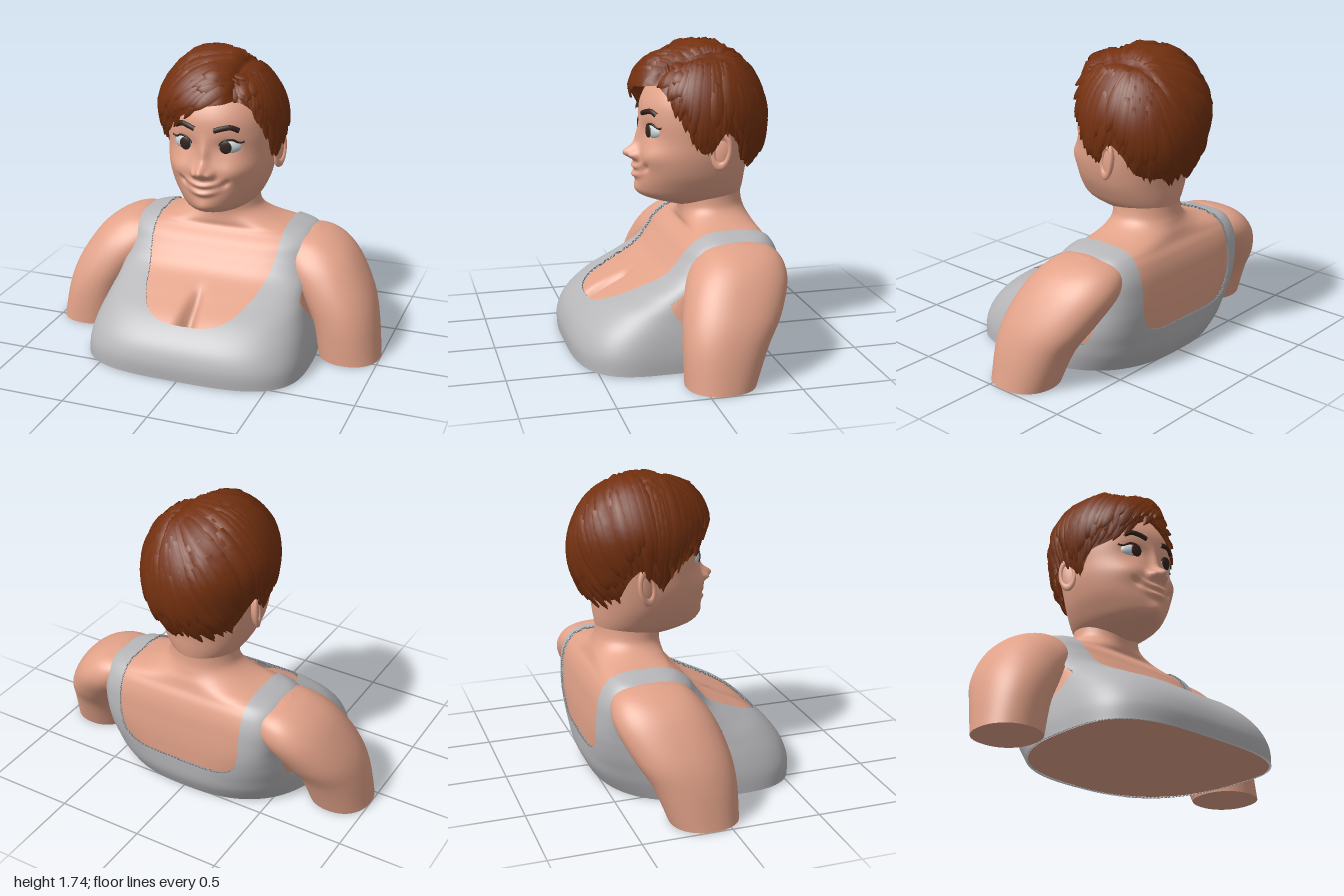
import * as THREE from 'three';
import { mergeGeometries } from 'three/addons/utils/BufferGeometryUtils.js';

const { sin, cos, abs, exp, PI, pow, min, max, sqrt } = Math;
const V = (x, y, z) => new THREE.Vector3(x, y, z);
const smooth = (x, a, b) => THREE.MathUtils.smoothstep(x, a, b);

function material(name, color, side = THREE.FrontSide) {
  const m = new THREE.MeshStandardMaterial({ color, side });
  m.name = name;
  return m;
}

// Closed body from horizontal sections: [y, halfWidth, zMiddle, zFront, zBack, frontPower, backPower, xCentre]
function loft(rows, nRows, nSeg, shape) {
  const pos = [], idx = [], last = rows.length - 1;
  for (let i = 0; i <= nRows; i++) {
    const u = i / nRows * last, k = min(last - 1, Math.floor(u)), t = u - k;
    const [y, w, zm, zf, zb, nf, nb, xc = 0] = rows[k].map((b, c) => {
      const a = rows[max(0, k - 1)][c], d = rows[k + 1][c], e = rows[min(last, k + 2)][c];
      return b + 0.5 * t * (d - a + t * (2 * a - 5 * b + 4 * d - e + t * (3 * (b - d) + e - a)));
    });
    for (let j = 0; j < nSeg; j++) {
      const s = sin(j / nSeg * 2 * PI), c = cos(j / nSeg * 2 * PI), n = c > 0 ? nf : nb;
      const r = pow(pow(abs(s), n) + pow(abs(c), n), -1 / n);
      const p = V(xc + w * r * s, y, zm + r * c * (c > 0 ? zf - zm : zm - zb));
      if (shape) shape(p);
      pos.push(p.x, p.y, p.z);
      if (i === nRows) continue;
      const a = i * nSeg + j, b = i * nSeg + (j + 1) % nSeg;
      idx.push(a, b, a + nSeg, b, b + nSeg, a + nSeg);
    }
  }
  // flat caps with their own corners
  for (const [i, row] of [[0, rows[0]], [nRows, rows[last]]]) {
    const base = pos.length / 3;
    pos.push(row[7] || 0, row[0], row[2]);
    for (let j = 0; j < nSeg; j++) {
      const o = (i * nSeg + j) * 3;
      pos.push(pos[o], pos[o + 1], pos[o + 2]);
      const a = base + 1 + j, b = base + 1 + (j + 1) % nSeg;
      if (i) idx.push(base, a, b); else idx.push(base, b, a);
    }
  }
  const g = new THREE.BufferGeometry();
  g.setAttribute('position', new THREE.Float32BufferAttribute(pos, 3));
  g.setIndex(idx);
  g.computeVertexNormals();
  return g;
}

// Keep the surface where f(p) > 0, lifted by `lift`, with a rim along the cut
function clip(geo, f, lift) {
  const P = geo.attributes.position, N = geo.attributes.normal, pos = [], nor = [];
  const put = (v, h) => { pos.push(...v.p.clone().addScaledVector(v.n, h).toArray()); nor.push(...v.n.toArray()); };
  const verts = Array.from({ length: P.count }, (_, i) => {
    const p = V().fromBufferAttribute(P, i);
    return { p, n: V().fromBufferAttribute(N, i), d: f(p) };
  });
  for (let i = 0; i < geo.index.count; i += 3) {
    const tri = [0, 1, 2].map(k => verts[geo.index.getX(i + k)]), poly = [], cut = [];
    tri.forEach((a, k) => {
      const b = tri[(k + 1) % 3];
      if (a.d > 0) poly.push(a);
      if (a.d > 0 !== b.d > 0) {
        const t = a.d / (a.d - b.d);
        const c = { p: a.p.clone().lerp(b.p, t), n: a.n.clone().lerp(b.n, t).normalize() };
        poly.push(c); cut.push(c);
      }
    });
    for (let k = 1; k < poly.length - 1; k++) [poly[0], poly[k], poly[k + 1]].forEach(v => put(v, lift));
    if (cut.length === 2) {
      const [a, b] = cut;
      [[a, lift], [b, lift], [b, 0], [a, lift], [b, 0], [a, 0]].forEach(([v, h]) => put(v, h));
    }
  }
  const g = new THREE.BufferGeometry();
  g.setAttribute('position', new THREE.Float32BufferAttribute(pos, 3));
  g.setAttribute('normal', new THREE.Float32BufferAttribute(nor, 3));
  return g;
}

export function createModel() {
  const model = new THREE.Group();
  const skin = material('skin', 0xe2a289), cloth = material('greyCloth', 0xb7b7ba, THREE.DoubleSide);
  const hair = material('auburnHair', 0x73300f, THREE.DoubleSide), dark = material('darkBrown', 0x33231d);
  const white = material('eyeWhite', 0xc9d3d8);
  const add = (name, geo, mat, parent = model) => {
    const m = new THREE.Mesh(geo, mat);
    m.name = name;
    parent.add(m);
    return m;
  };

  // Torso and neck
  const torso = [
    [0.005, 0.635, 0.15, 0.585, -0.5, 3.3, 2.5], [0.1, 0.63, 0.13, 0.585, -0.545, 3.3, 2.8],
    [0.2, 0.61, 0.08, 0.54, -0.56, 3.2, 3.4], [0.3, 0.58, 0, 0.43, -0.565, 3.2, 4.5],
    [0.38, 0.56, -0.08, 0.27, -0.565, 3.3, 5.5], [0.46, 0.555, -0.15, 0.11, -0.56, 3.5, 6],
    [0.55, 0.55, -0.22, 0.03, -0.55, 3.6, 6], [0.62, 0.545, -0.25, -0.02, -0.53, 3.6, 5],
    [0.665, 0.52, -0.28, -0.07, -0.505, 3.4, 4], [0.69, 0.45, -0.29, -0.09, -0.495, 3, 3],
    [0.72, 0.32, -0.28, -0.09, -0.485, 2.5, 2.5], [0.77, 0.225, -0.27, -0.09, -0.465, 2.1, 2.1],
    [0.84, 0.195, -0.26, -0.08, -0.45, 2, 2], [1.0, 0.19, -0.26, -0.06, -0.445, 2, 2]];
  add('torso', loft(torso, 90, 200, p => {
    if (p.z > 0) p.z -= 0.13 * exp(-pow(p.x / 0.04, 2)) * smooth(p.y, 0.12, 0.24) * (1 - smooth(p.y, 0.3, 0.44));
  }), skin);

  // Tank top: torso surface minus neck opening, arm openings and the underside
  add('tankTop', clip(loft(torso, 90, 200), p => {
    const x = abs(p.x), front = p.z > -0.25, n = front ? 3 : 6;
    const neck = pow(pow(x / 0.39, n) + pow(max(0, 0.75 - p.y) / (front ? 0.475 : 0.52), n), 1 / n) - 1;
    const hole = sqrt(pow((p.z + 0.19) / 0.32, 2) + pow((p.y - 0.47) / 0.31, 2)) - 1;
    const arm = max(0.522 + 0.12 * max(0, 0.6 - p.y) - x, hole * 0.3);
    return min(neck * 0.39, arm, 0.72 - p.y, p.y - 0.0055);
  }, 0.014), cloth);

  // Upper arms
  for (const s of [1, -1]) {
    add(s > 0 ? 'leftArm' : 'rightArm', loft([
      [0, 0.18, -0.1, 0.09, -0.29, 2.2, 2.2, 0.82], [0.2, 0.19, -0.14, 0.09, -0.37, 2.2, 2.2, 0.78],
      [0.35, 0.21, -0.18, 0.07, -0.46, 2.2, 2.2, 0.715], [0.5, 0.225, -0.22, 0.02, -0.525, 2.3, 2.2, 0.615],
      [0.6, 0.2, -0.25, -0.05, -0.515, 2.3, 2.2, 0.555], [0.66, 0.12, -0.28, -0.13, -0.45, 2.2, 2.2, 0.535],
      [0.684, 0.015, -0.29, -0.25, -0.33, 2, 2, 0.545]].map(r => [...r.slice(0, 7), s * r[7]]), 48, 64), skin);
  }

  // Head, with the face raised by soft bumps: [x, y, width, height, amount]
  const bumps = [[0, 1.105, 0.036, 0.04, 0.078], [0.048, 1.092, 0.02, 0.024, 0.042], [0, 1.19, 0.028, 0.07, 0.028],
    [0.17, 1.1, 0.075, 0.06, 0.022], [0.125, 1.245, 0.065, 0.045, -0.018], [0, 0.89, 0.055, 0.04, 0.018]];
  const lips = [[0, 1.022, 0.085, 0.017, 0.026], [0, 0.975, 0.07, 0.018, 0.026], [0.125, 1.0, 0.022, 0.02, -0.018]];
  const head = add('head', loft([
    [0.785, 0.06, -0.22, -0.09, -0.38, 2, 2], [0.81, 0.125, -0.22, 0.0, -0.42, 2, 2],
    [0.835, 0.17, -0.22, 0.085, -0.44, 2, 2],
    [0.865, 0.205, -0.22, 0.14, -0.45, 2.05, 2], [0.92, 0.24, -0.22, 0.163, -0.46, 2.1, 2],
    [1.0, 0.277, -0.21, 0.165, -0.47, 2.2, 2], [1.1, 0.302, -0.2, 0.16, -0.49, 2.2, 2],
    [1.2, 0.31, -0.2, 0.142, -0.52, 2.2, 2], [1.3, 0.312, -0.2, 0.142, -0.53, 2.2, 2],
    [1.4, 0.3, -0.2, 0.128, -0.51, 2.2, 2], [1.5, 0.27, -0.2, 0.075, -0.45, 2.1, 2],
    [1.58, 0.2, -0.2, 0, -0.36, 2, 2], [1.63, 0.08, -0.2, -0.12, -0.28, 2, 2]], 140, 170, p => {
    if (p.z < -0.1) return;
    const x = abs(p.x), fade = smooth(p.z, -0.1, 0);
    const bump = y => ([cx, cy, sx, sy, a]) => a * exp(-pow((x - cx) / sx, 2) - pow((y - cy) / sy, 2));
    let dz = 0;
    bumps.forEach(b => { dz += bump(p.y)(b); });
    lips.forEach(b => { dz += bump(p.y - 2.2 * x * x)(b); });
    p.z += dz * fade;
  }), skin);
  head.updateMatrixWorld();
  const ray = new THREE.Raycaster();
  const onFace = (x, y, lift = 0) => {
    ray.set(V(x, y, 2), V(0, 0, -1));
    return V(x, y, ray.intersectObject(head)[0].point.z + lift);
  };

  // Eyes, lashes, brows and ears
  const ball = new THREE.SphereGeometry(1, 32, 20);
  for (const s of [1, -1]) {
    const side = s > 0 ? 'left' : 'right';
    const eye = new THREE.Group();
    eye.name = side + 'Eye';
    eye.position.copy(onFace(s * 0.13, 1.243, -0.014));
    eye.rotation.y = s * 0.32;
    model.add(eye);
    add('eyeball', ball, white, eye).scale.set(0.07, 0.043, 0.034);
    const iris = add('iris', ball, dark, eye);
    iris.scale.set(0.034, 0.037, 0.008);
    iris.position.set(-s * 0.021, 0, 0.0305);
    iris.rotation.y = -s * 0.15;
    const lash = new THREE.CatmullRomCurve3([V(-s * 0.068, -0.008, 0.008), V(-s * 0.035, 0.034, 0.026),
      V(s * 0.015, 0.043, 0.026), V(s * 0.055, 0.025, 0.014), V(s * 0.085, 0.03, 0.006)]);
    add('lashes', new THREE.TubeGeometry(lash, 24, 0.006, 6), dark, eye);
    const brow = new THREE.CatmullRomCurve3([[0.055, 1.336], [0.1, 1.35], [0.145, 1.356], [0.185, 1.338]]
      .map(([x, y]) => onFace(s * x, y, 0.002)));
    add(side + 'Brow', new THREE.TubeGeometry(brow, 20, 0.015, 8), dark);
    const ear = new THREE.Group();
    ear.name = side + 'Ear';
    ear.position.set(s * 0.31, 1.15, -0.25);
    ear.rotation.set(-0.15, s * (PI / 2 - 0.35), 0);
    model.add(ear);
    add('earBowl', ball, skin, ear).scale.set(0.05, 0.095, 0.02);
    const rim = add('earRim', new THREE.TorusGeometry(0.045, 0.013, 10, 32), skin, ear);
    rim.scale.y = 1.9;
    rim.position.z = 0.012;
  }

  // Hair volume: fuller on the right side and fringe, with a groove at the parting
  const hairPoint = (d, lift = 1) => {
    const full = max(0.1 * smooth(-d.x, -0.1, 0.6) * smooth(d.y, -0.2, 0.4),
      0.18 * smooth(d.z, 0.3, 0.9) * smooth(d.y, 0, 0.4) * (d.x > 0.4 ? 0.6 : 1));
    const groove = 0.09 * exp(-pow((d.x - 0.4) / 0.09, 2)) * smooth(d.z, -0.5, -0.1) * smooth(d.y, 0.2, 0.5);
    return d.clone().multiplyScalar((1 + full - groove) * lift).multiply(V(0.34, 0.408, 0.358)).add(V(0, 1.3, -0.215));
  };
  const line = [[0, 1.48], [0.5, 1.44], [0.8, 1.36], [1.1, 1.26], [1.35, 1.12], [1.55, 1.18],
    [1.75, 1.26], [1.95, 1.2], [2.15, 1.08], [2.5, 1.05], [3.2, 1.05]];
  const hairline = a => {
    const k = max(1, line.findIndex(l => l[0] >= abs(a))), [a0, y0] = line[k - 1], [a1, y1] = line[k];
    const slant = 0.13 * sin(a) * (1 - smooth(abs(a), 0.6, 1.2));
    return y0 + (y1 - y0) * (abs(a) - a0) / (a1 - a0) + slant;
  };
  const shell = new THREE.SphereGeometry(1, 96, 64), sp = shell.attributes.position;
  for (let i = 0; i < sp.count; i++) sp.setXYZ(i, ...hairPoint(V().fromBufferAttribute(sp, i)).toArray());
  shell.computeVertexNormals();
  add('hairCap', clip(shell, p => p.y - hairline(Math.atan2(p.x, p.z + 0.215)), 0), hair);

  // Overlapping tapered locks combed from the parting to the hairline
  let seed = 7;
  const rnd = () => (seed = seed * 16807 % 2147483647) / 2147483647;
  const lock = (start, end, t0, width, lift, flick) => {
    const pos = [], idx = [], n = 10;
    const at = t => hairPoint(start.clone().lerp(end, t).normalize(), lift + flick * t * t);
    for (let i = 0; i <= n; i++) {
      const u = i / n, t = t0 + (1 - t0) * u, c = at(t);
      const out = start.clone().lerp(end, t).normalize();
      const across = at(t + 0.02).sub(c).cross(out).normalize();
      const w = width * pow(max(0, sin(PI * (0.15 + 0.85 * u))), 0.6);
      for (const k of [-1, 0, 1]) {
        pos.push(...c.clone().addScaledVector(across, k * w).addScaledVector(out, k ? -0.012 : 0.22 * w).toArray());
      }
      if (i < n) for (const k of [0, 1]) {
        const a = i * 3 + k;
        idx.push(a, a + 1, a + 3, a + 1, a + 4, a + 3);
      }
    }
    const g = new THREE.BufferGeometry();
    g.setAttribute('position', new THREE.Float32BufferAttribute(pos, 3));
    g.setIndex(idx);
    g.computeVertexNormals();
    return g;
  };
  const locks = [], count = 32;
  for (const s of [1, -1]) for (let layer = 0; layer < 3; layer++) for (let i = 0; i < count; i++) {
    const first = s > 0 ? 0.5 : 0.05, a = first + (PI - first) * (i + rnd()) / count;
    const z = 0.75 - 1.25 * min(1, a / PI * 1.3) + 0.1 * (rnd() - 0.5), x = 0.4 + s * 0.07;
    const start = V(x, sqrt(max(0.05, 1 - x * x - z * z)), z).normalize();
    const dy = (hairline(s * a) - 0.04 + 0.07 * rnd() + layer * 0.05 - 1.3) / 0.408, h = sqrt(1 - min(0.95, dy * dy));
    const end = V(s * h * sin(a), dy, h * cos(a));
    locks.push(lock(start, end, layer * 0.2 * rnd() + layer * 0.08, 0.034 + 0.02 * rnd(),
      1 + 0.012 * layer + 0.02 * rnd(), 0.01 + 0.05 * rnd()));
  }
  add('hairLocks', mergeGeometries(locks), hair);
  return model;
}
